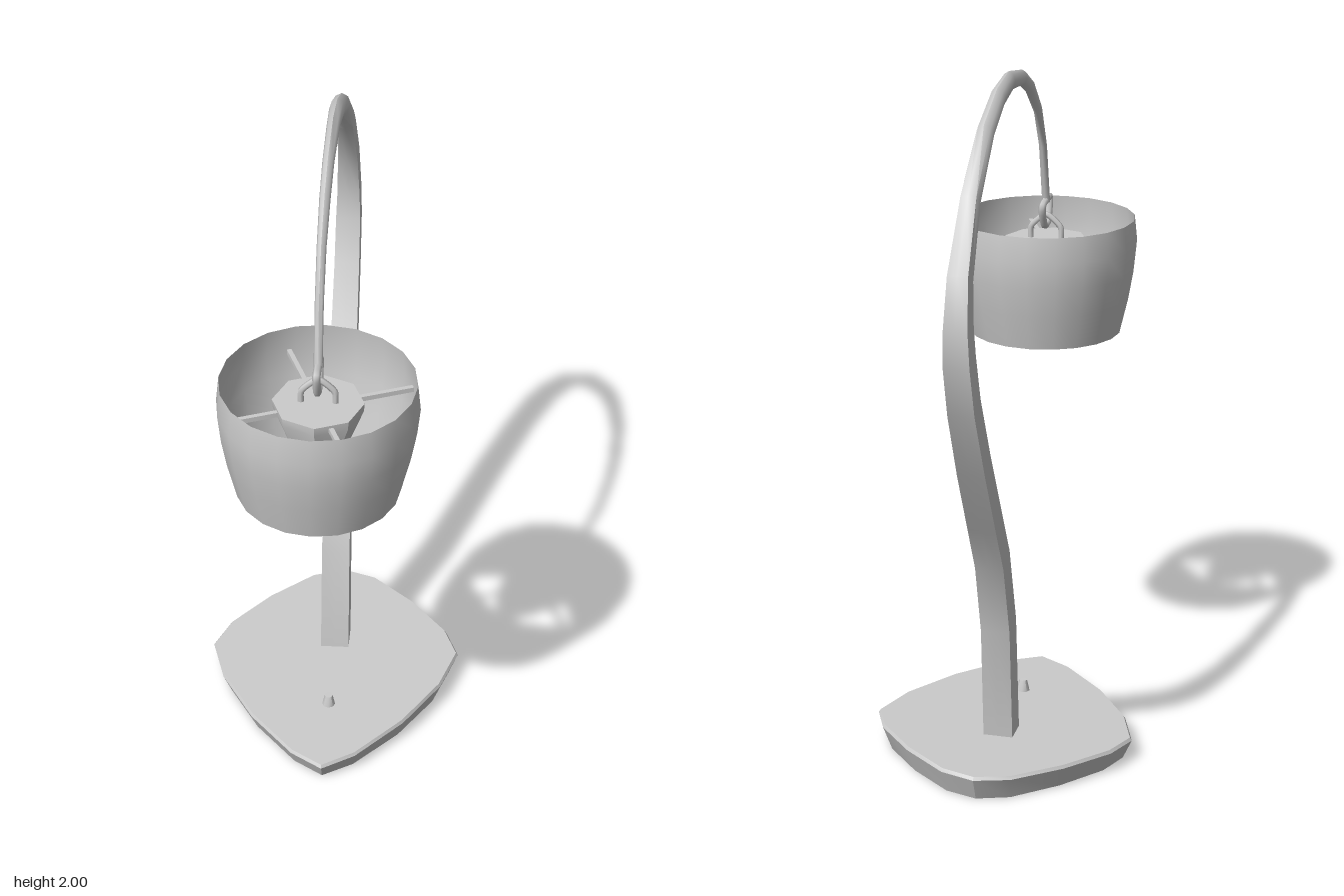
import * as THREE from 'three';
import { toCreasedNormals } from 'three/addons/utils/BufferGeometryUtils.js';

const material = new THREE.MeshStandardMaterial({ color: 0xcccccc });
const openMaterial = new THREE.MeshStandardMaterial({ color: 0xcccccc, side: THREE.DoubleSide });

function part(name, geometry, mat = material) {
  const mesh = new THREE.Mesh(geometry, mat);
  mesh.name = name;
  return mesh;
}

// Skin a list of equal-length rings and close both ends with fans
function loft(rings, crease) {
  const n = rings[0].length;
  const verts = rings.flat();
  const index = [];
  for (let r = 0; r < rings.length - 1; r++) {
    for (let i = 0; i < n; i++) {
      const a = r * n + i, b = r * n + (i + 1) % n;
      index.push(a, b, a + n, b, b + n, a + n);
    }
  }
  [0, rings.length - 1].forEach((r, end) => {
    const centre = new THREE.Vector3();
    rings[r].forEach((p) => centre.addScaledVector(p, 1 / n));
    const c = verts.push(centre) - 1;
    for (let i = 0; i < n; i++) {
      const a = r * n + i, b = r * n + (i + 1) % n;
      if (end) index.push(a, b, c);
      else index.push(b, a, c);
    }
  });
  const geometry = new THREE.BufferGeometry().setFromPoints(verts);
  geometry.setIndex(index);
  return toCreasedNormals(geometry, crease);
}

// Faceted foot with inward-leaning sides and a slightly tilted top
function makeBase() {
  const side = [[0.095, 0.34], [0.23, 0.19], [0.335, 0.02], [0.382, -0.127],
    [0.34, -0.23], [0.23, -0.363], [0.1, -0.475]];
  const outline = [[0, 0.4], ...side, [0, -0.508],
    ...side.slice().reverse().map(([x, z]) => [-x, z])];
  const top = (x, z) => 0.072 + 0.016 * x - 0.014 * z;
  const ring = (scale, height) => outline.map(([x, z]) =>
    new THREE.Vector3(x * scale, height(x, z), (z + 0.06) * scale - 0.06));
  return part('base', loft([
    ring(0.93, () => 0),
    ring(1, (x, z) => top(x, z) - 0.009),
    ring(0.985, top),
  ], 0.4));
}

// Curved stem: square at the foot, turning round and thin towards the lamp
function makeStem() {
  // z, y, half width, half depth, roundness
  const path = [
    [-0.172, 0.05, 0.043, 0.043, 0], [-0.206, 0.42, 0.042, 0.042, 0],
    [-0.28, 0.65, 0.041, 0.041, 0], [-0.37, 0.8, 0.04, 0.04, 0],
    [-0.49, 1.0, 0.039, 0.038, 0], [-0.595, 1.2, 0.037, 0.037, 0],
    [-0.642, 1.34, 0.036, 0.036, 0], [-0.65, 1.43, 0.034, 0.035, 0.1],
    [-0.628, 1.56, 0.032, 0.034, 0.4], [-0.515, 1.74, 0.028, 0.032, 0.8],
    [-0.345, 1.885, 0.025, 0.03, 1], [-0.2, 1.95, 0.022, 0.029, 1],
    [-0.07, 1.971, 0.018, 0.028, 1], [0.085, 1.952, 0.016, 0.022, 1],
    [0.19, 1.905, 0.015, 0.02, 1], [0.295, 1.82, 0.013, 0.017, 1],
    [0.365, 1.7, 0.012, 0.013, 1], [0.411, 1.52, 0.012, 0.012, 1]];
  const rings = path.map(([z, y, w, d, round], k) => {
    const p = path[Math.max(k - 1, 0)], q = path[Math.min(k + 1, path.length - 1)];
    const len = Math.hypot(q[0] - p[0], q[1] - p[1]);
    const tz = (q[0] - p[0]) / len, ty = (q[1] - p[1]) / len;
    return Array.from({ length: 8 }, (_, i) => {
      const a = i * Math.PI / 4;
      const s = i % 2 ? THREE.MathUtils.lerp(Math.SQRT2, 1, round) : 1;
      const u = Math.cos(a) * w * s, v = Math.sin(a) * d * s;
      return new THREE.Vector3(u - 0.003, y + v * tz, z - v * ty);
    });
  });
  return part('stem', loft(rings, 0.9));
}

// Thin wire through a few points
function wire(name, points, closed, radius) {
  const curve = new THREE.CatmullRomCurve3(
    points.map((p) => new THREE.Vector3(...p)), closed, 'catmullrom', 0.3);
  return part(name, new THREE.TubeGeometry(curve, 24, radius, 6, closed), openMaterial);
}

function makeLampHead() {
  const head = new THREE.Group();
  head.name = 'lampHead';
  head.position.set(-0.003, 0, 0.411);
  const profile = (pts) => pts.map(([r, y]) => new THREE.Vector2(r, y));

  // Open, thin-walled shade
  head.add(part('shade', new THREE.LatheGeometry(profile([
    [0.225, 1.13], [0.25, 1.235], [0.265, 1.32], [0.273, 1.4], [0.265, 1.475]]), 20), openMaterial));

  // Tapered eight-sided socket
  const socket = new THREE.LatheGeometry(profile([
    [0, 1.2], [0.045, 1.2], [0.068, 1.245], [0.122, 1.385], [0.124, 1.41], [0, 1.41]]), 8);
  head.add(part('socket', toCreasedNormals(socket, 0.5)));

  // Four spokes holding the shade
  for (let i = 0; i < 4; i++) {
    const pivot = new THREE.Group();
    pivot.name = 'spoke';
    pivot.rotation.y = 0.39 + i * Math.PI / 2;
    const rod = part('spokeRod', new THREE.BoxGeometry(0.17, 0.014, 0.013));
    rod.position.set(0.182, 1.395, 0);
    pivot.add(rod);
    head.add(pivot);
  }

  // Link on the stem and the loop it hangs the socket from
  head.add(wire('hangingLink', [[0, 1.525, 0.048], [0, 1.455, 0.025],
    [0, 1.455, -0.025], [0, 1.515, -0.054]], true, 0.011));
  head.add(wire('socketLoop', [[-0.046, 1.4, 0], [-0.044, 1.445, 0], [0, 1.482, 0],
    [0.044, 1.445, 0], [0.046, 1.4, 0]], false, 0.009));
  return head;
}

export function createModel() {
  const model = new THREE.Group();
  model.name = 'deskLamp';
  model.add(makeBase(), makeStem(), makeLampHead());

  // Switch button on the base
  const button = part('switchButton',
    toCreasedNormals(new THREE.CylinderGeometry(0.012, 0.021, 0.04, 8), 0.9));
  button.position.set(0, 0.084, 0.127);
  model.add(button);
  return model;
}
